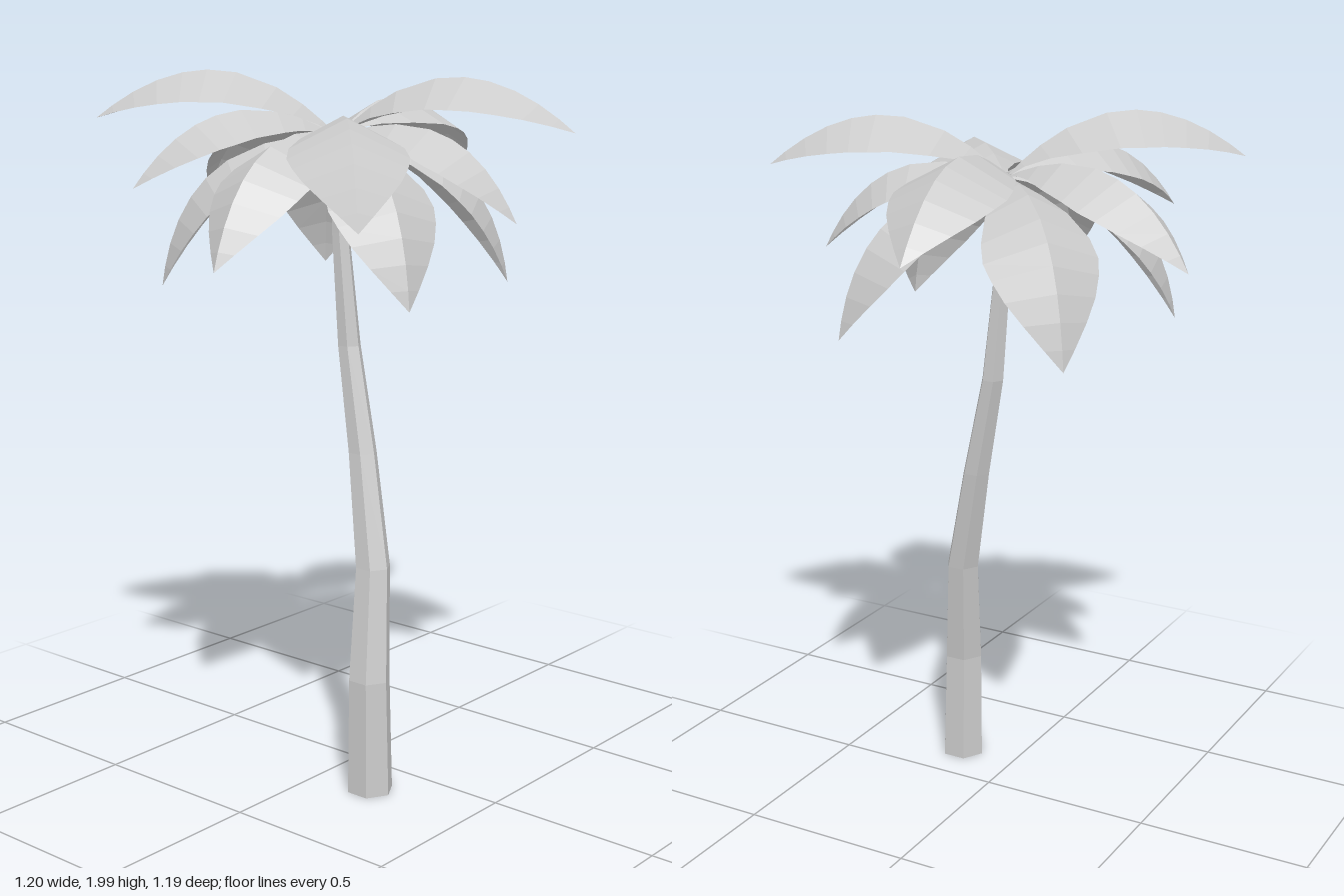
import * as THREE from 'three';

const material = new THREE.MeshStandardMaterial({
  color: 0xcccccc, flatShading: true, side: THREE.DoubleSide,
});
const crown = new THREE.Vector3(-0.06, 1.81, -0.02);

// Skin a list of cross-sections (arrays of Vector3) with quads
function skin(sections, closed) {
  const n = sections[0].length, index = [];
  for (let i = 0; i < sections.length - 1; i++) {
    for (let j = 0; j < (closed ? n : n - 1); j++) {
      const a = i * n + j, b = i * n + (j + 1) % n;
      index.push(a, b, a + n, b, b + n, a + n);
    }
  }
  const geometry = new THREE.BufferGeometry().setFromPoints(sections.flat());
  geometry.setIndex(index);
  const flat = geometry.toNonIndexed();
  flat.computeVertexNormals();
  return flat;
}

// Leaning six-sided trunk: [x, y, z, radius] per ring
function makeTrunk() {
  const rings = [
    [-0.152, 0, 0.175, 0.066], [-0.15, 0.33, 0.17, 0.06],
    [-0.106, 0.64, 0.146, 0.05], [-0.072, 0.95, 0.08, 0.041],
    [-0.053, 1.24, 0.016, 0.033], [-0.055, 1.55, -0.013, 0.025],
    [-0.06, 1.82, -0.02, 0.018],
  ];
  const sections = rings.map(([x, y, z, r]) => Array.from({ length: 6 }, (_, k) => {
    const t = k * Math.PI / 3;
    return new THREE.Vector3(x + r * Math.sin(t), y, z + r * Math.cos(t));
  }));
  return new THREE.Mesh(skin(sections, true), material);
}

// Arched frond with a raised midrib, from the crown to its tip
const widthCurve = new THREE.SplineCurve([
  [0, 0.006], [0.1, 0.055], [0.24, 0.16], [0.47, 0.228],
  [0.62, 0.222], [0.77, 0.175], [0.9, 0.09], [1, 0],
].map(([t, w]) => new THREE.Vector2(t, w)));

function makeFrond(tip) {
  const chord = tip.clone().sub(crown), length = chord.length();
  const side = new THREE.Vector3(-chord.z, 0, chord.x).normalize();
  const up = new THREE.Vector3().crossVectors(side, chord).normalize();
  const bend = crown.clone().add(tip).multiplyScalar(0.5).addScaledVector(up, 0.46 * length);
  const rib = new THREE.QuadraticBezierCurve3(crown, bend, tip);
  const sections = [];
  for (let i = 0; i <= 10; i++) {
    const { x: t, y: w } = widthCurve.getPoint(i / 10);
    const p = rib.getPoint(t);
    const normal = new THREE.Vector3().crossVectors(side, rib.getTangent(t)).normalize();
    const edge = (s) => p.clone().addScaledVector(side, s * w * length)
      .addScaledVector(normal, -0.52 * w * length);
    sections.push([edge(-1), p, edge(1)]);
  }
  return new THREE.Mesh(skin(sections, false), material);
}

export function createModel() {
  const model = new THREE.Group();
  model.name = 'palmTree';
  const trunk = makeTrunk();
  trunk.name = 'trunk';
  model.add(trunk);

  // Frond tips by layer
  const layers = {
    upperFrond: [[-0.44, 1.855, -0.56], [0.175, 1.83, 0.59], [0.6, 1.69, -0.09]],
    middleFrond: [
      [0.03, 1.62, -0.6], [0.08, 1.595, 0.477], [-0.517, 1.62, 0.437],
      [-0.6, 1.5, 0.035], [-0.55, 1.685, -0.305],
    ],
    lowerFrond: [
      [0.315, 1.4, -0.39], [0.315, 1.4, 0.285], [-0.285, 1.4, 0.41], [-0.36, 1.4, -0.4],
    ],
  };
  for (const [name, tips] of Object.entries(layers)) {
    tips.forEach((tip, i) => {
      const frond = makeFrond(new THREE.Vector3(...tip));
      frond.name = name + (i + 1);
      model.add(frond);
    });
  }
  return model;
}
